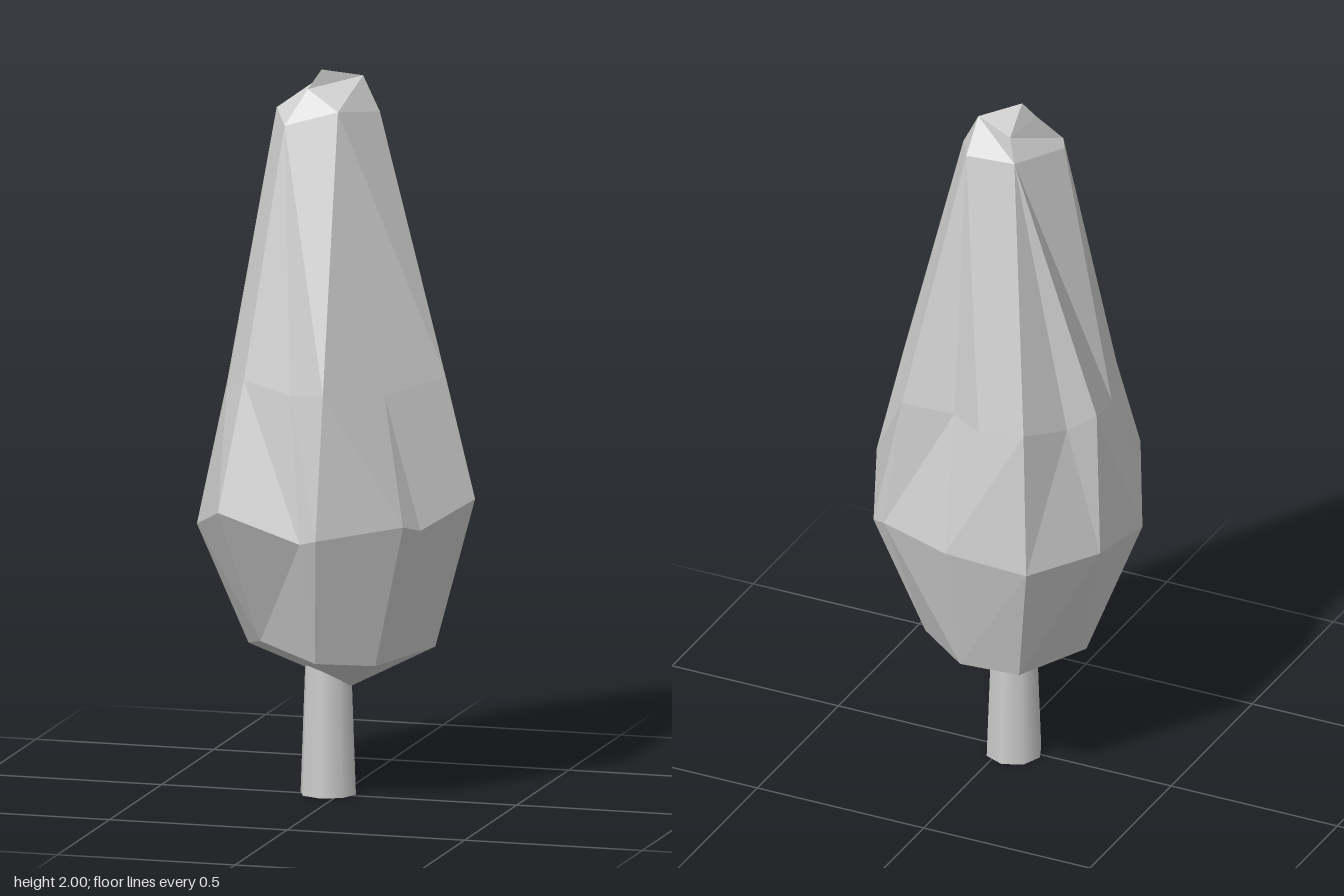
import * as THREE from 'three';

// Foliage cross-sections from bottom to top, each point [x, y, z],
// running counter-clockwise seen from above and starting near +x.
const RINGS = [
  [[0.03, 0.3, -0.01]],
  [[0.265, 0.42, -0.02], [0.16, 0.4, -0.16], [0, 0.395, -0.275], [-0.17, 0.395, -0.26],
    [-0.27, 0.395, -0.05], [-0.175, 0.445, 0.16], [0, 0.405, 0.23], [0.15, 0.395, 0.165]],
  [[0.38, 0.835, -0.01], [0.275, 0.76, -0.245], [0.235, 0.77, -0.265], [0, 0.785, -0.368],
    [-0.24, 0.77, -0.36], [-0.365, 0.77, -0.16], [-0.38, 0.74, 0.07], [-0.24, 0.83, 0.345],
    [-0.01, 0.755, 0.345], [0.04, 0.77, 0.365], [0.24, 0.79, 0.205], [0.27, 0.77, 0.14]],
  [[0.3, 1.17, 0], [0.22, 1.14, -0.115], [0.185, 1.15, -0.255], [0.03, 1.15, -0.25],
    [-0.07, 1.15, -0.305], [-0.215, 1.18, -0.325], [-0.275, 1.14, -0.18], [-0.335, 1.17, -0.12],
    [-0.305, 1.13, 0.035], [-0.27, 1.14, 0.155], [-0.195, 1.18, 0.25], [-0.055, 1.15, 0.28],
    [0.045, 1.16, 0.31], [0.175, 1.14, 0.16]],
  [[0.1, 1.88, -0.05], [0.05, 1.89, -0.135], [-0.095, 1.9, -0.135], [-0.17, 1.89, 0.02],
    [-0.12, 1.86, 0.115], [0.023, 1.9, 0.09]],
  [[0.05, 1.975, -0.06], [-0.07, 1.963, -0.11], [-0.075, 1.95, 0.045]],
  [[-0.045, 2, 0.015]],
];

// Angles of a ring's points about its own centre, always increasing
function ringAngles(ring) {
  const n = ring.length;
  const cx = ring.reduce((s, p) => s + p[0], 0) / n;
  const cz = ring.reduce((s, p) => s + p[2], 0) / n;
  const out = [];
  for (let i = 0; i <= n; i++) {
    const p = ring[i % n];
    let a = Math.atan2(cz - p[2], p[0] - cx);
    while (i > 0 && a <= out[i - 1]) a += Math.PI * 2;
    out.push(a);
  }
  return out;
}

// Zip two rings of different point counts together with triangles
function stitch(low, high, positions) {
  const la = ringAngles(low), ha = ringAngles(high);
  const lowSteps = low.length > 1 ? low.length : 0;
  const highSteps = high.length > 1 ? high.length : 0;
  let i = 0, j = 0;
  while (i < lowSteps || j < highSteps) {
    const a = low[i % low.length], b = high[j % high.length];
    const moveLow = j >= highSteps || (i < lowSteps && la[i + 1] <= ha[j + 1]);
    const c = moveLow ? low[++i % low.length] : high[++j % high.length];
    positions.push(...a, ...c, ...b);
  }
}

export function createModel() {
  const group = new THREE.Group();
  group.name = 'tree';

  // Faceted foliage
  const positions = [];
  for (let k = 0; k < RINGS.length - 1; k++) stitch(RINGS[k], RINGS[k + 1], positions);
  const crown = new THREE.BufferGeometry();
  crown.setAttribute('position', new THREE.Float32BufferAttribute(positions, 3));
  crown.computeVertexNormals();
  const foliage = new THREE.Mesh(crown,
    new THREE.MeshStandardMaterial({ color: 0xcccccc, flatShading: true }));
  foliage.name = 'foliage';
  group.add(foliage);

  // Smooth tapered trunk, open at both ends
  const trunk = new THREE.Mesh(new THREE.CylinderGeometry(0.064, 0.078, 0.38, 8, 1, true),
    new THREE.MeshStandardMaterial({ color: 0xcccccc, side: THREE.DoubleSide }));
  trunk.name = 'trunk';
  trunk.position.set(-0.035, 0.19, -0.015);
  group.add(trunk);

  return group;
}
